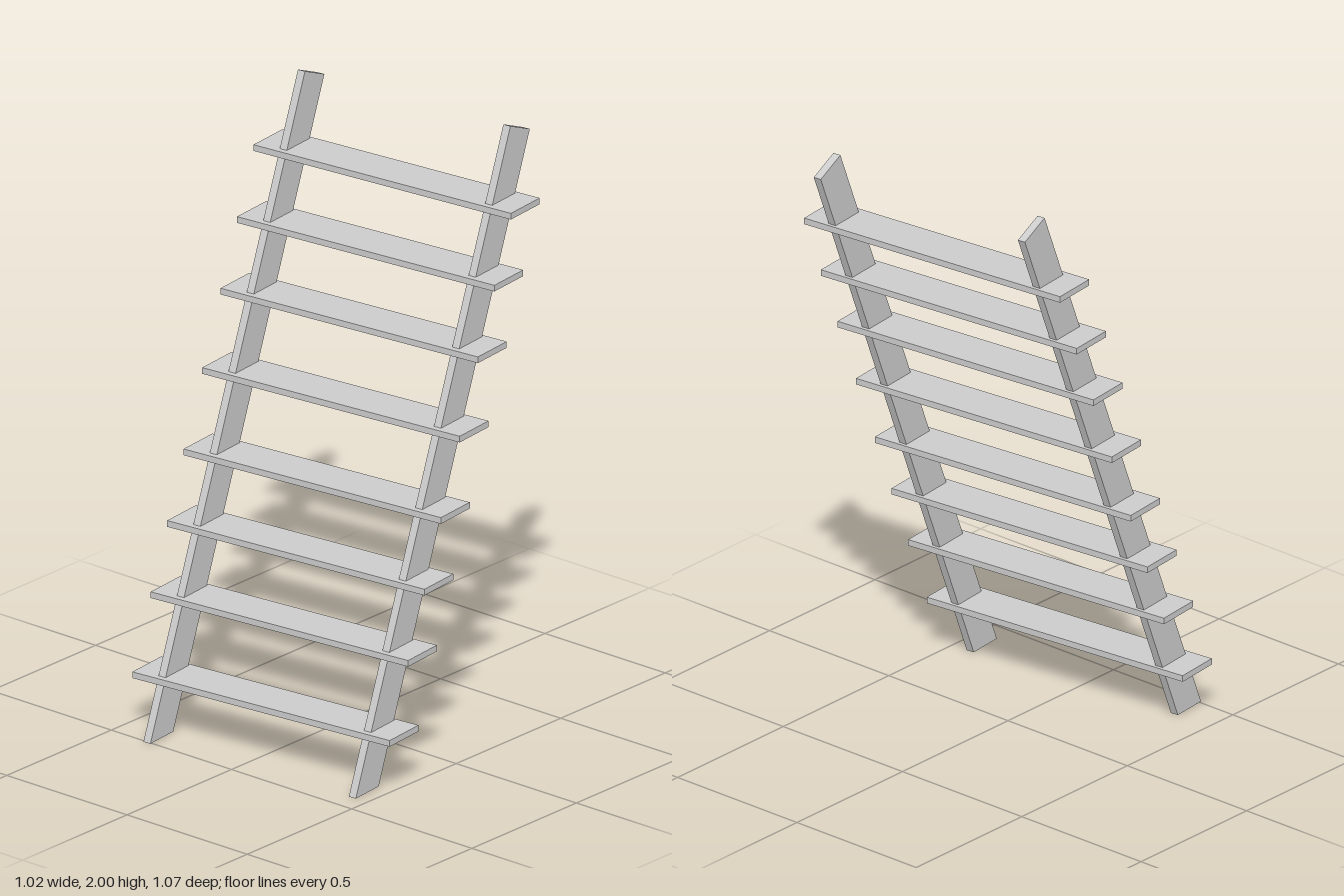
import * as THREE from 'three';

const SLOPE = 0.42;          // sideways run per unit of height
const TURN = 0.1;            // whole ladder is turned slightly about y
const RAIL_T = 0.027, RAIL_W = 0.124, RAIL_Z = 0.395;
const TREAD_Y = [0.186, 0.424, 0.636, 0.849, 1.091, 1.327, 1.54, 1.754];

const leanX = (y) => (y - 0.97) * SLOPE;

export function createModel() {
  const group = new THREE.Group();
  group.name = 'stepLadder';
  const material = new THREE.MeshStandardMaterial({ color: 0xcccccc, flatShading: true });

  // Leaning side rails: level cut at the foot, square cut at the top
  const h = RAIL_W / 2, lean = Math.atan(SLOPE);
  const across = RAIL_W * Math.cos(lean);
  const topX = leanX(2) - h;
  const profile = new THREE.Shape([
    new THREE.Vector2(leanX(0) - h, 0),
    new THREE.Vector2(leanX(0) + h, 0),
    new THREE.Vector2(topX + across * Math.cos(lean), 2 - across * Math.sin(lean)),
    new THREE.Vector2(topX, 2),
  ]);
  const railGeometry = new THREE.ExtrudeGeometry(profile, { depth: RAIL_T, bevelEnabled: false });
  railGeometry.translate(0, 0, -RAIL_T / 2);
  for (const side of [1, -1]) {
    const rail = new THREE.Mesh(railGeometry, material);
    rail.name = side > 0 ? 'frontRail' : 'backRail';
    rail.position.z = side * RAIL_Z;
    group.add(rail);
  }

  // Level treads running through both rails
  const treadGeometry = new THREE.BoxGeometry(0.157, 0.021, 0.99);
  TREAD_Y.forEach((y, i) => {
    const tread = new THREE.Mesh(treadGeometry, material);
    tread.name = `tread${i + 1}`;
    tread.position.set(leanX(y), y, 0);
    group.add(tread);
  });

  group.rotation.y = TURN;
  return group;
}
